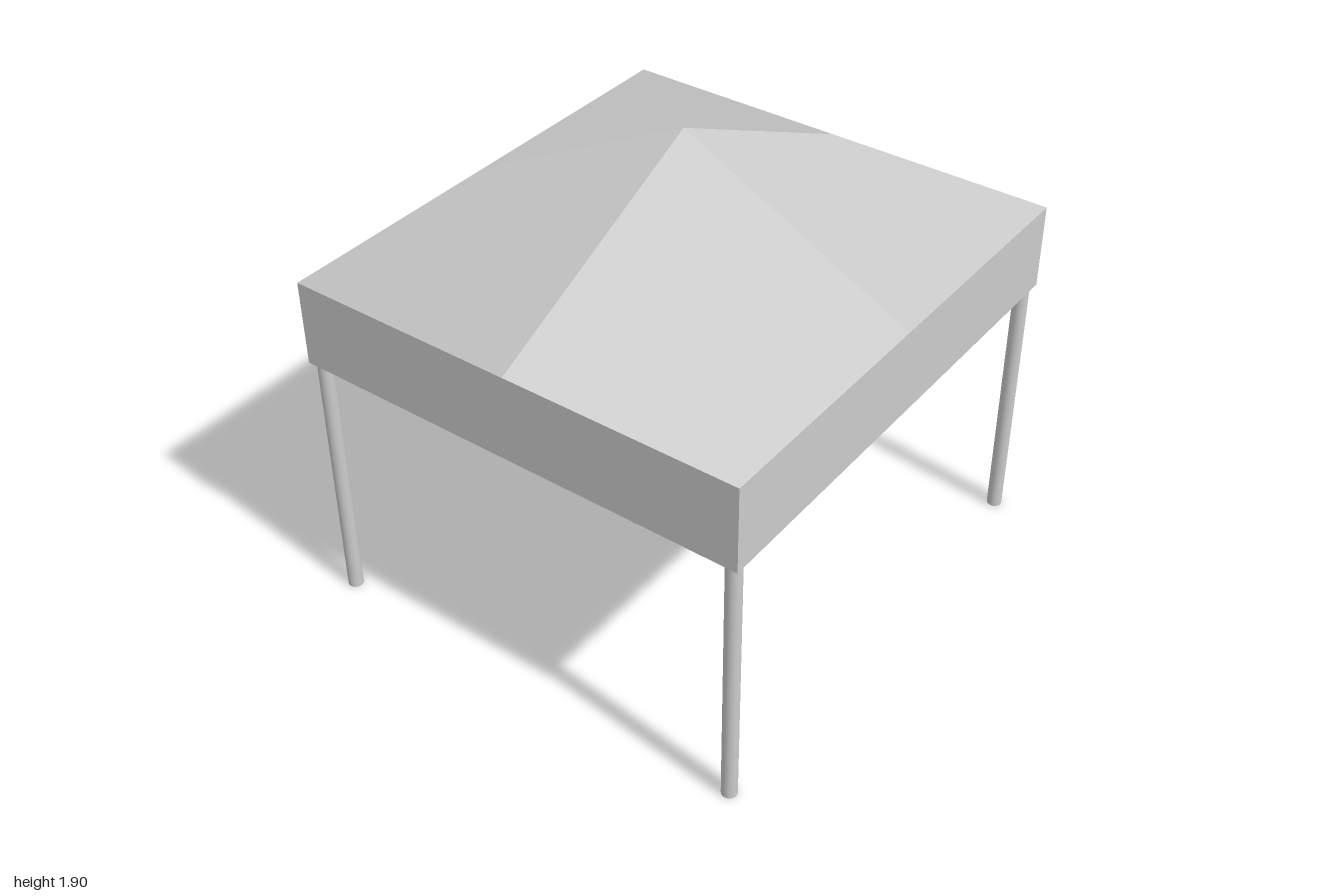
import * as THREE from 'three';

const HALF_X = 1, HALF_Z = 0.94;
const SKIRT_BOTTOM = 1.08, EAVE = 1.425, PEAK = 1.9;
const LEG_RADIUS = 0.03;

// One roof quarter: peak, two mid-eave points and a corner, shaded as one facet.
// Diagonals all run the same way across the roof, like a 2 x 2 grid.
function roofQuarter(sx, sz) {
  const peak = new THREE.Vector3(0, PEAK, 0);
  const sideMid = new THREE.Vector3(sx * HALF_X, EAVE, 0);
  const endMid = new THREE.Vector3(0, EAVE, sz * HALF_Z);
  const corner = new THREE.Vector3(sx * HALF_X, EAVE, sz * HALF_Z);
  const same = sx * sz > 0;
  const p = same ? [peak, endMid, corner, sideMid] : [peak, sideMid, corner, endMid];
  const normal = p[2].clone().sub(p[0]).cross(p[3].clone().sub(p[1])).normalize();

  const geometry = new THREE.BufferGeometry().setFromPoints(p);
  geometry.setAttribute('normal', new THREE.Float32BufferAttribute(
    p.flatMap(() => normal.toArray()), 3));
  geometry.setIndex(same ? [0, 1, 3, 1, 2, 3] : [0, 1, 2, 0, 2, 3]);
  return geometry;
}

// Straight skirt with a closed underside; its top is left open for the roof.
function skirtGeometry() {
  const geometry = new THREE.BoxGeometry(2 * HALF_X, EAVE - SKIRT_BOTTOM, 2 * HALF_Z);
  const index = Array.from(geometry.index.array);
  index.splice(12, 6); // the box's top face
  geometry.setIndex(index);
  geometry.clearGroups();
  return geometry.translate(0, (EAVE + SKIRT_BOTTOM) / 2, 0);
}

export function createModel() {
  const model = new THREE.Group();
  model.name = 'canopyTent';
  const material = new THREE.MeshStandardMaterial({ color: 0xcccccc });
  const fabric = new THREE.MeshStandardMaterial({ color: 0xcccccc, side: THREE.DoubleSide });

  const add = (name, geometry, mat, parent = model) => {
    const mesh = new THREE.Mesh(geometry, mat);
    mesh.name = name;
    parent.add(mesh);
    return mesh;
  };

  add('skirt', skirtGeometry(), fabric);

  const roof = new THREE.Group();
  roof.name = 'roof';
  model.add(roof);

  // A roof quarter and a round leg at each corner
  const legGeometry = new THREE.CylinderGeometry(LEG_RADIUS, LEG_RADIUS, SKIRT_BOTTOM, 24);
  for (const sx of [-1, 1]) {
    for (const sz of [-1, 1]) {
      const place = (sz > 0 ? 'front' : 'back') + (sx > 0 ? 'Left' : 'Right');
      add(place + 'RoofQuarter', roofQuarter(sx, sz), fabric, roof);
      add(place + 'Leg', legGeometry, material)
        .position.set(sx * 0.96, SKIRT_BOTTOM / 2, sz * 0.9);
    }
  }
  return model;
}
